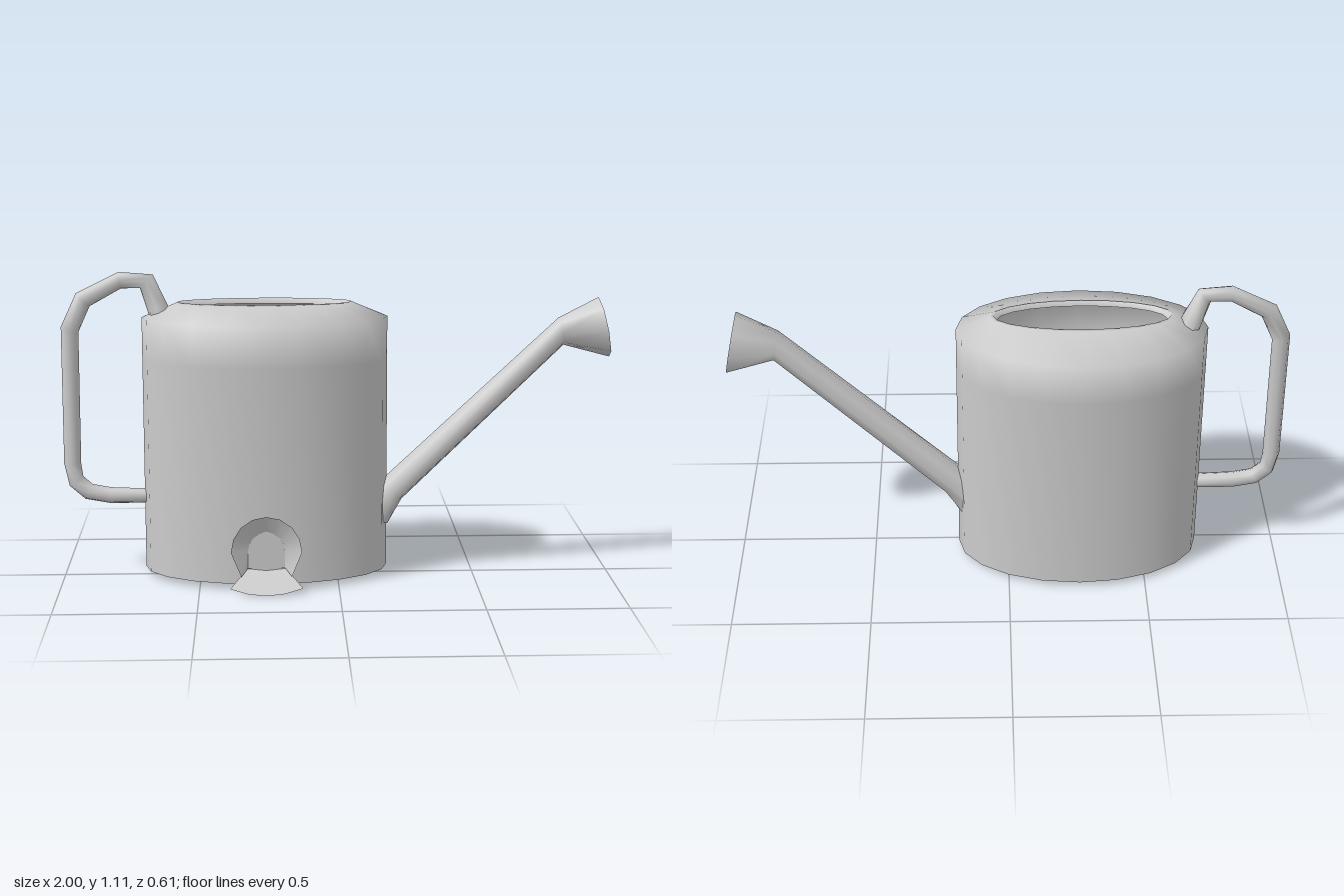
import * as THREE from 'three';

const Z0 = -0.04; // depth of the can's centre plane
const CX = -0.26; // centre of the body
const UP = Math.PI / 2;

const material = new THREE.MeshStandardMaterial({ color: 0xcccccc, side: THREE.DoubleSide });

function addMesh(group, name, positions, index) {
  const geometry = new THREE.BufferGeometry();
  geometry.setAttribute('position', new THREE.Float32BufferAttribute(positions, 3));
  geometry.setIndex(index);
  geometry.computeVertexNormals();
  const mesh = new THREE.Mesh(geometry, material);
  mesh.name = name;
  group.add(mesh);
}

// Joins elliptical rings [x, y, axis angle, in-plane radius, z radius]
function loft(group, name, rings, sides) {
  const positions = [];
  const index = [];
  rings.forEach(([x, y, angle, ru, rz], i) => {
    for (let j = 0; j < sides; j++) {
      const t = (j / sides) * Math.PI * 2;
      const u = ru * Math.cos(t);
      positions.push(x - Math.sin(angle) * u, y + Math.cos(angle) * u, Z0 + rz * Math.sin(t));
      if (i === 0) continue;
      const k = (j + 1) % sides;
      const a = (i - 1) * sides, b = i * sides;
      index.push(a + j, a + k, b + j, a + k, b + k, b + j);
    }
  });
  addMesh(group, name, positions, index);
}

// Joins open or closed rows of 3D points
function sheet(group, name, rows) {
  const n = rows[0].length;
  const index = [];
  for (let i = 0; i < rows.length - 1; i++) {
    for (let j = 0; j < n - 1; j++) {
      const a = i * n + j, b = a + n;
      index.push(a, b, a + 1, a + 1, b, b + 1);
    }
  }
  addMesh(group, name, rows.flat(2), index);
}

export function createModel() {
  const group = new THREE.Group();
  group.name = 'wateringCan';

  // Oval body, sloping shoulder, rim and recessed floor
  const level = (y, rx, rz) => [CX, y, UP, rx, rz];
  loft(group, 'body', [
    level(0.02, 0.445, 0.265), level(0.8, 0.445, 0.265), level(0.95, 0.445, 0.265), level(1.0, 0.325, 0.107),
  ], 20);
  loft(group, 'rim', [
    level(1.0, 0.325, 0.107), level(1.005, 0.315, 0.1), level(0.985, 0.3, 0.094),
  ], 20);
  loft(group, 'floor', [level(0.08, 0.445, 0.265), level(0.08, 0, 0)], 20);

  // Spout with a flared root and a wide rose
  const face = [0.977, 0.905, 0.2, 0.112, 0.112];
  loft(group, 'spout', [
    [0.13, 0.235, 0.75, 0.085, 0.08],
    [0.205, 0.305, 0.75, 0.052, 0.067],
    [0.82, 0.89, 0.2, 0.051, 0.06],
    face,
  ], 8);
  loft(group, 'roseFace', [face, [...face.slice(0, 3), 0, 0]], 8);

  // Handle, from the low joint round to the flared top joint
  loft(group, 'handle', [
    [-0.66, 0.287, Math.PI, 0.026, 0.027],
    [-0.83, 0.29, Math.PI - 0.05, 0.03, 0.027],
    [-0.91, 0.305, Math.PI - 0.45, 0.031, 0.027],
    [-0.955, 0.345, Math.PI - 0.95, 0.031, 0.027],
    [-0.967, 0.41, UP, 0.031, 0.027],
    [-0.965, 0.907, UP - 0.3, 0.033, 0.027],
    [-0.915, 1.015, 0.8, 0.034, 0.027],
    [-0.78, 1.085, 0.15, 0.03, 0.027],
    [-0.685, 1.08, -0.75, 0.034, 0.022],
    [-0.647, 0.985, -1.2, 0.038, 0.052],
    [-0.635, 0.95, -1.2, 0.038, 0.055],
  ], 8);

  // Arched outlet: a funnel opening outwards round a flat panel
  const arch = (rx, top, foot, footX, z) => {
    const row = [[CX - footX, foot, z]];
    for (let j = 0; j <= 8; j++) {
      const t = Math.PI * (1 - j / 8);
      row.push([CX + rx * Math.cos(t), 0.145 + top * Math.sin(t), z]);
    }
    row.push([CX + footX, foot, z]);
    return row;
  };
  const inner = arch(0.066, 0.064, 0.08, 0.066, 0.222);
  const outer = arch(0.127, 0.13, 0.055, 0.09, 0.252);
  const root = arch(0.115, 0.135, 0.07, 0.09, 0.205);
  sheet(group, 'outletFunnel', [inner, outer]);
  sheet(group, 'outletRoot', [root, inner]);
  sheet(group, 'outletPanel', [inner.map(([x, , z]) => [x, 0.08, z + 0.003]), inner.map(([x, y, z]) => [x, y, z + 0.003])]);

  // Flared drip lip below the outlet
  const lip = [-1, -0.5, 0, 0.5, 1];
  sheet(group, 'dripLip', [
    lip.map((s) => [CX + 0.066 * s, 0.08, 0.215]),
    lip.map((s) => [CX + 0.13 * s, 0.02 * s * s, 0.305 - 0.022 * s * s]),
  ]);

  return group;
}
